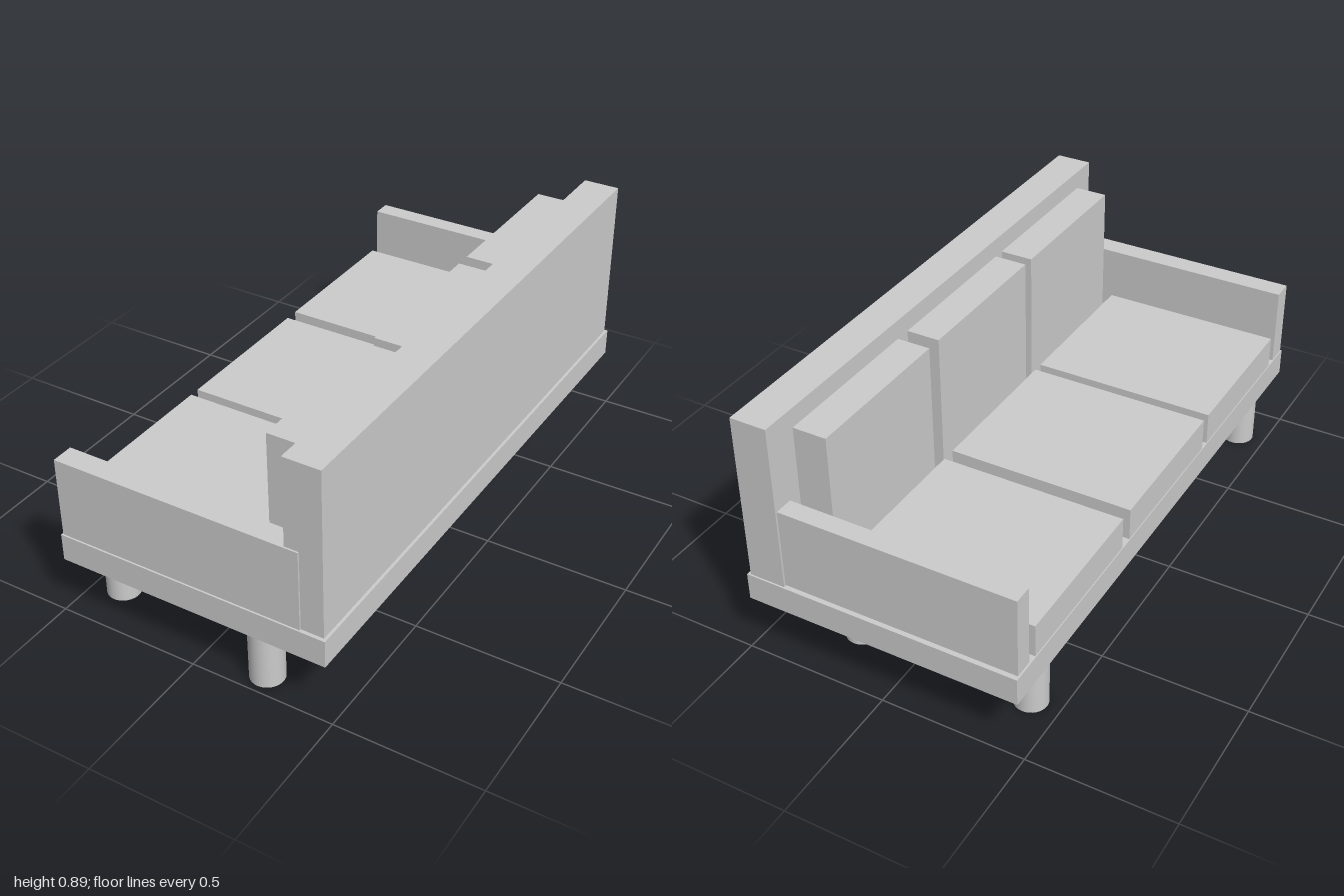
import * as THREE from 'three';

const material = new THREE.MeshStandardMaterial({ color: 0xcccccc });

export function createModel() {
  const sofa = new THREE.Group();
  sofa.name = 'sofa';

  // Box given by its extents along each axis
  const slab = (name, [x0, x1], [y0, y1], [z0, z1]) => {
    const mesh = new THREE.Mesh(new THREE.BoxGeometry(x1 - x0, y1 - y0, z1 - z0), material);
    mesh.position.set((x0 + x1) / 2, (y0 + y1) / 2, (z0 + z1) / 2);
    mesh.name = name;
    sofa.add(mesh);
  };

  // Frame: platform, backrest and two slightly uneven arms
  slab('base', [-0.478, 0.478], [0.212, 0.308], [-1, 1]);
  slab('backrest', [0.341, 0.468], [0.308, 0.893], [-0.994, 0.988]);
  slab('armFront', [-0.474, 0.39], [0.308, 0.588], [0.918, 0.994]);
  slab('armRear', [-0.474, 0.39], [0.312, 0.593], [-0.987, -0.922]);

  // Three seat cushions, each with a back cushion
  for (const z of [-0.618, -0.01, 0.584]) {
    slab('seatCushion', [-0.48, 0.17], [0.318, 0.433], [z - 0.279, z + 0.279]);
    slab('backCushion', [0.207, 0.323], [0.312, 0.847], [z - 0.277, z + 0.277]);
  }

  // Round legs
  const legGeometry = new THREE.CylinderGeometry(0.057, 0.057, 0.212, 32);
  for (const [x, z] of [[-0.397, -0.776], [0.222, -0.776], [-0.397, 0.827], [0.222, 0.922]]) {
    const leg = new THREE.Mesh(legGeometry, material);
    leg.position.set(x, 0.106, z);
    leg.name = 'leg';
    sofa.add(leg);
  }

  return sofa;
}
